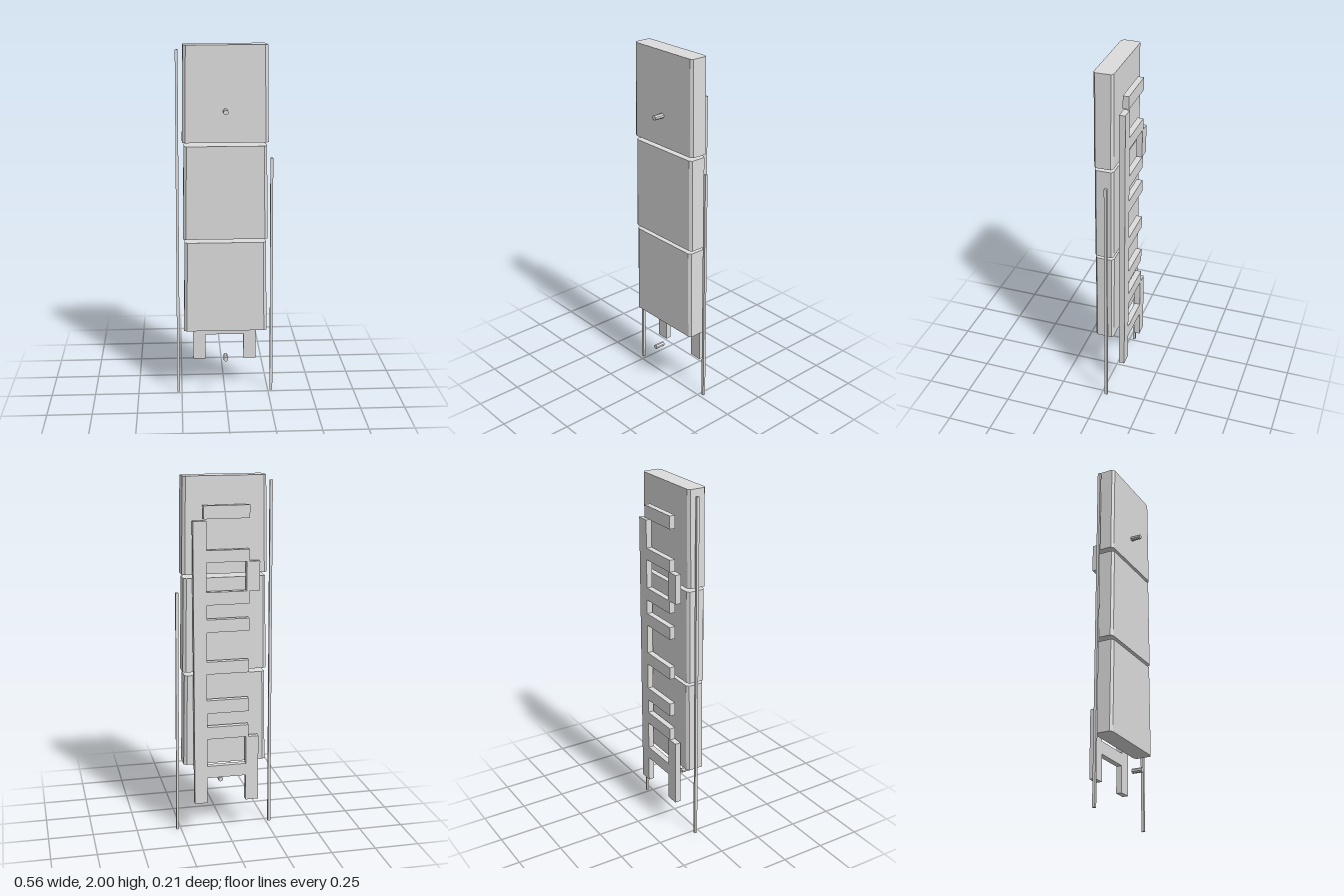
import * as THREE from 'three';

const grey = new THREE.MeshStandardMaterial({ color: 0xdcdcdc, flatShading: true });
grey.name = 'light grey';

// Move x by a rule of the height
function warpX(geometry, rule) {
  const p = geometry.attributes.position;
  for (let i = 0; i < p.count; i++) p.setX(i, rule(p.getX(i), p.getY(i)));
  geometry.computeVertexNormals();
  return geometry;
}

// Slab with chamfered upright edges, narrowing towards the top
function slabGeometry() {
  const w = 0.234, d = 0.0525, cx = 0.016, cz = 0.011, h = 0.52;
  const outline = new THREE.Shape([
    [w, d - cz], [w - cx, d], [cx - w, d], [-w, d - cz],
    [-w, cz - d], [cx - w, -d], [w - cx, -d], [w, cz - d],
  ].map(([x, y]) => new THREE.Vector2(x, y)));
  const g = new THREE.ExtrudeGeometry(outline, { depth: h, bevelEnabled: false });
  g.rotateX(-Math.PI / 2);
  return warpX(g, (x, y) => x * (1 - 0.038 * y / h));
}

export function createModel() {
  const model = new THREE.Group();
  const add = (name, geometry, x, y, z, parent = model) => {
    const mesh = new THREE.Mesh(geometry, grey);
    mesh.name = name;
    mesh.position.set(x, y, z);
    parent.add(mesh);
    return mesh;
  };

  // Three stacked slabs
  const slab = slabGeometry();
  ['lowerSlab', 'middleSlab', 'upperSlab'].forEach((name, i) =>
    add(name, slab, 0, 0.4 + 0.54 * i, -0.0045));

  // Side poles of unequal height, leaning inwards
  for (const [name, side, height] of [['rightPole', -1, 1.97], ['leftPole', 1, 1.38]]) {
    const g = new THREE.BoxGeometry(0.015, height, 0.015);
    g.translate(0, height / 2, 0);
    warpX(g, (x, y) => x + side * (0.27 - 0.012 * y / height));
    add(name, g, 0, 0, -0.0265);
  }

  // Mounting frame behind the slabs
  const frame = new THREE.Group();
  frame.name = 'backFrame';
  model.add(frame);
  const bar = (name, x0, x1, y0, y1) => add(name,
    new THREE.BoxGeometry(x1 - x0, y1 - y0, 0.033), (x0 + x1) / 2, (y0 + y1) / 2, -0.09, frame);

  // Cross bars, bottom edge and top edge of each
  [[0.33, 0.4], [0.56, 0.63], [0.71, 0.785], [0.935, 1.005],
    [1.17, 1.24], [1.32, 1.39], [1.55, 1.615], [1.78, 1.85],
  ].forEach(([y0, y1]) => bar('crossBar', -0.125, 0.125, y0, y1));

  // One long upright on the left, short uprights on the right
  bar('longUpright', 0.11, 0.182, 0.18, 1.77);
  bar('lowerUpright', -0.182, -0.11, 0.18, 0.56);
  bar('upperUpright', -0.182, -0.11, 1.39, 1.55);

  // Front pegs, eight-sided with a flat on top
  const peg = new THREE.CylinderGeometry(0.0135, 0.0135, 0.058, 8);
  peg.rotateY(Math.PI / 8);
  peg.rotateX(Math.PI / 2);
  add('upperPeg', peg, 0, 1.652, 0.077);
  add('lowerPeg', peg, 0, 0.25, 0.077);

  return model;
}
